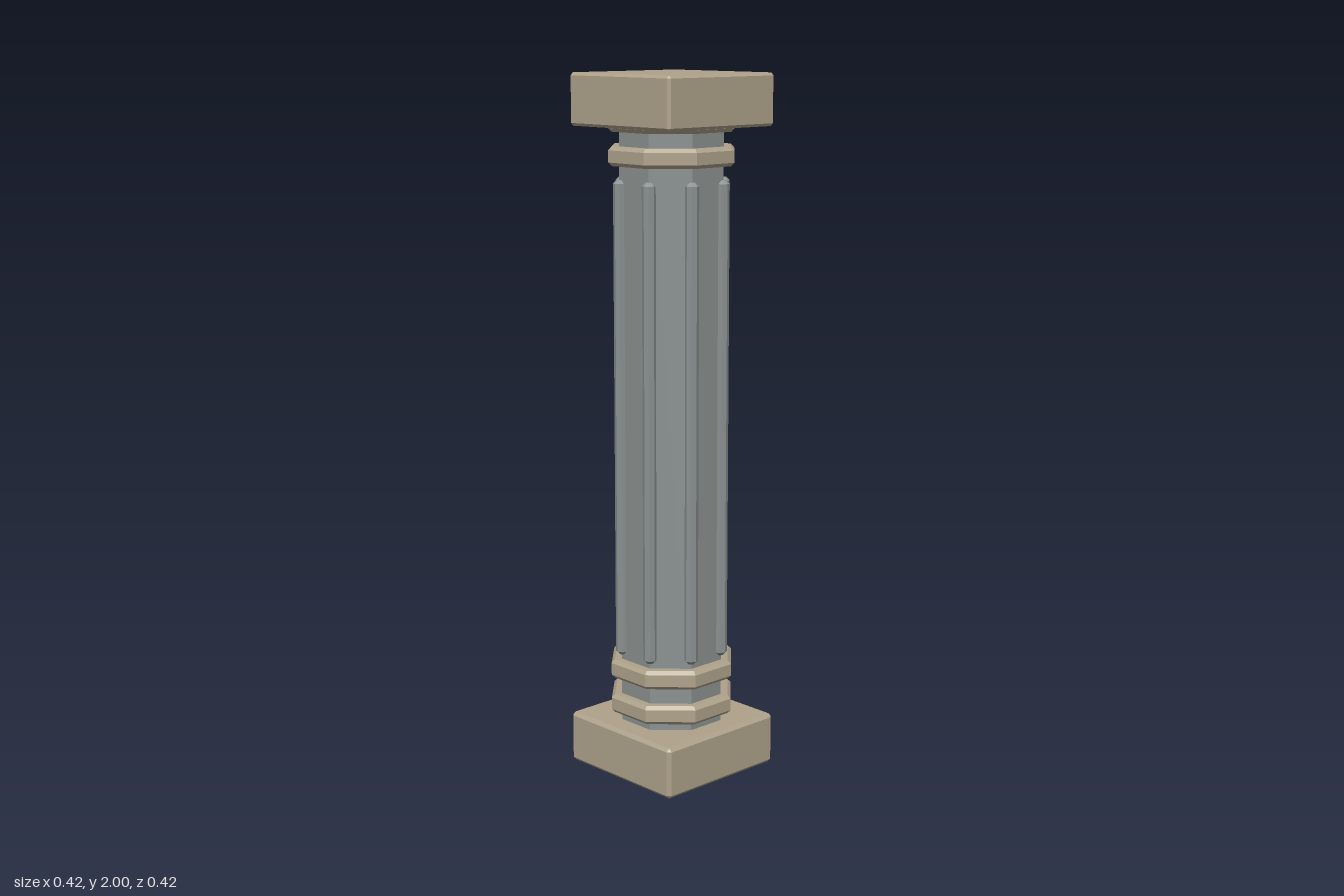
import * as THREE from 'three';
import { ConvexGeometry } from 'three/addons/geometries/ConvexGeometry.js';

const SIDES = 8;
const TURN = Math.PI / SIDES; // flats face the front and the sides
const APOTHEM = Math.cos(TURN);

// Square block with evenly chamfered edges
function chamferedBox(w, h, d, b) {
  const points = [];
  for (const sx of [-1, 1]) for (const sy of [-1, 1]) for (const sz of [-1, 1]) {
    for (let k = 0; k < 3; k++) {
      const inset = [b, b, b];
      inset[k] = 0;
      points.push(new THREE.Vector3(
        sx * (w / 2 - inset[0]), sy * (h / 2 - inset[1]), sz * (d / 2 - inset[2])));
    }
  }
  return new ConvexGeometry(points);
}

// Octagonal solid with chamfered rims, r is the corner radius
function chamferedPrism(r, y0, y1, b) {
  const profile = [[0, y0], [r - b, y0], [r, y0 + b], [r, y1 - b], [r - b, y1], [0, y1]]
    .map(([x, y]) => new THREE.Vector2(x, y));
  const g = new THREE.LatheGeometry(profile, SIDES, TURN).toNonIndexed();
  g.computeVertexNormals();
  return g;
}

export function createModel() {
  const sandstone = new THREE.MeshStandardMaterial({ color: 0xaea28a });
  sandstone.name = 'sandstone';
  const greyStone = new THREE.MeshStandardMaterial({ color: 0x8a9190 });
  greyStone.name = 'greyStone';

  const model = new THREE.Group();
  model.name = 'column';
  const add = (name, geometry, material, parent = model) => {
    const mesh = new THREE.Mesh(geometry, material);
    mesh.name = name;
    parent.add(mesh);
    return mesh;
  };

  // Square base and capital
  add('base', chamferedBox(0.42, 0.15, 0.42, 0.01), sandstone).position.y = 0.075;
  add('capital', chamferedBox(0.4, 0.145, 0.4, 0.008), sandstone).position.y = 1.9275;

  // Octagonal shaft
  add('shaft', chamferedPrism(0.143 / APOTHEM, 0.14, 1.87, 0.001), greyStone);

  // Moulding rings, the top one partly sunk into the capital
  const rings = [
    ['lowerRing', 0.175, 0.23], ['middleRing', 0.28, 0.335],
    ['upperRing', 1.75, 1.803], ['topRing', 1.843, 1.897],
  ];
  for (const [name, y0, y1] of rings) {
    add(name, chamferedPrism(0.172 / APOTHEM, y0, y1, 0.01), sandstone);
  }

  // Raised ribs along the shaft corners
  const ribs = new THREE.Group();
  ribs.name = 'ribs';
  model.add(ribs);
  const ribGeometry = chamferedPrism(0.0195, 0.35, 1.712, 0.01);
  for (let i = 0; i < SIDES; i++) {
    const a = TURN + i * 2 * TURN;
    const rib = add('rib', ribGeometry, greyStone, ribs);
    rib.position.set(Math.sin(a) * 0.152, 0, Math.cos(a) * 0.152);
    rib.rotation.y = a;
  }
  return model;
}
